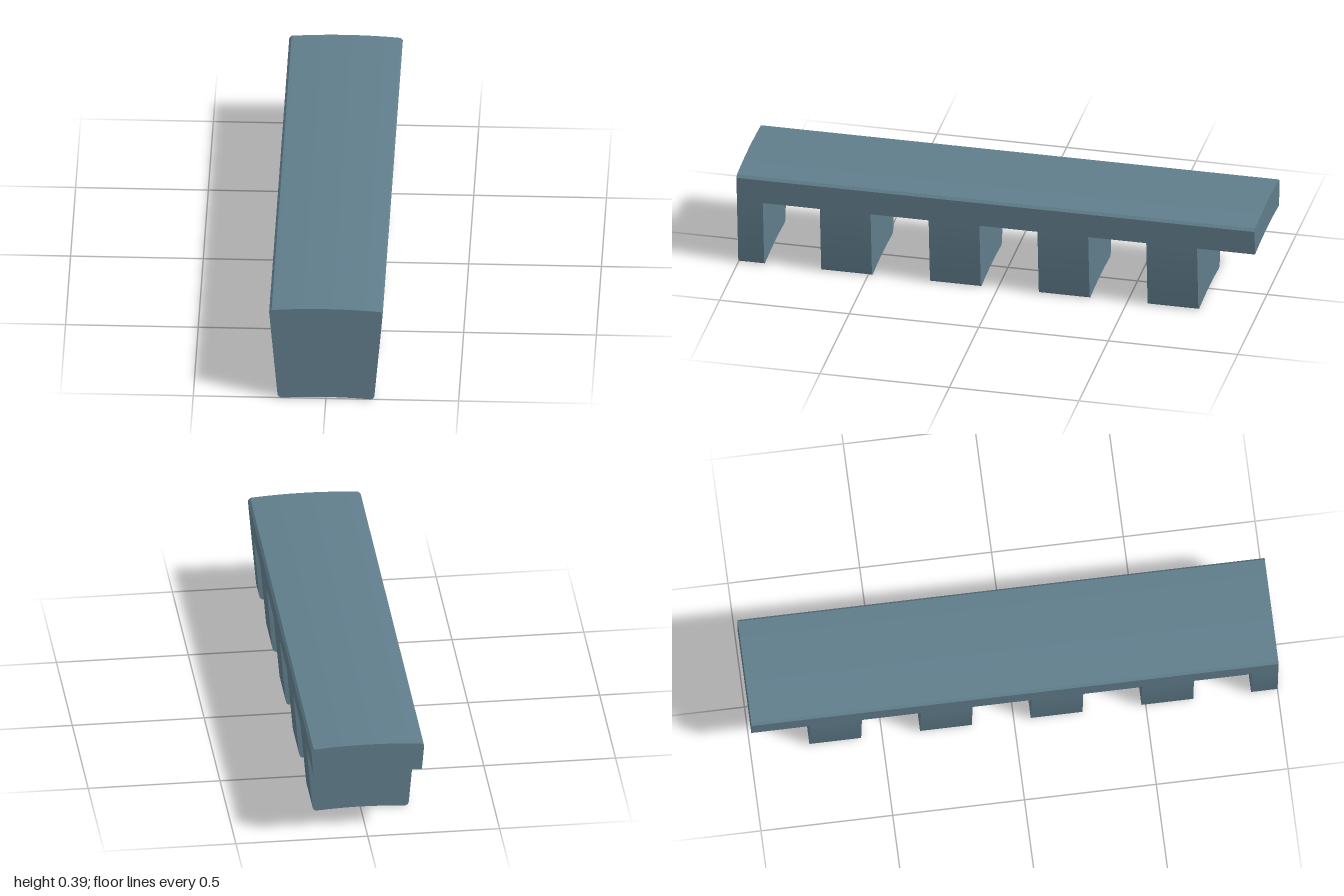
import * as THREE from 'three';
import { toCreasedNormals } from 'three/addons/utils/BufferGeometryUtils.js';

// All curved faces share one axis, parallel to z and far below the model.
const AXIS_Y = -2.08;
const TOP = [0.205, 0.385], SHOULDER = [0.214, 0.375], WAIST = [0.2054, 0.275];
const FOOT_SIDE = [0.183, 0.02], FOOT = [0.163, 0.001];

// Arc about the shared axis, between the mirrored points (-x, y) and (x, y).
function arc(shape, [x, y], leftToRight) {
  const r = Math.hypot(x, y - AXIS_Y), a = Math.atan2(x, y - AXIS_Y);
  const left = Math.PI / 2 + a, right = Math.PI / 2 - a;
  shape.absarc(0, AXIS_Y, r, leftToRight ? left : right, leftToRight ? right : left, leftToRight);
}

function barProfile() {
  const s = new THREE.Shape();
  s.moveTo(-WAIST[0], WAIST[1]);
  arc(s, WAIST, true);
  s.lineTo(...SHOULDER);
  s.lineTo(...TOP);
  arc(s, TOP, false);
  s.lineTo(-SHOULDER[0], SHOULDER[1]);
  s.closePath();
  return s;
}

function toothProfile() {
  const s = new THREE.Shape();
  s.moveTo(-FOOT[0], FOOT[1]);
  arc(s, FOOT, true);
  s.quadraticCurveTo(0.181, 0, ...FOOT_SIDE);
  s.lineTo(...WAIST);
  arc(s, WAIST, false);
  s.lineTo(-FOOT_SIDE[0], FOOT_SIDE[1]);
  s.quadraticCurveTo(-0.181, 0, -FOOT[0], FOOT[1]);
  return s;
}

function extrude(name, profile, z0, z1, material) {
  const geo = new THREE.ExtrudeGeometry(profile, { depth: z1 - z0, bevelEnabled: false, curveSegments: 16 });
  geo.translate(0, 0, z0);
  const mesh = new THREE.Mesh(toCreasedNormals(geo, 0.5), material);
  mesh.name = name;
  return mesh;
}

export function createModel() {
  const group = new THREE.Group();
  group.name = 'toothedBar';
  const blueGrey = new THREE.MeshStandardMaterial({ color: 0x607d8b });
  blueGrey.name = 'blueGrey';

  // Long curved bar with chamfered shoulders
  group.add(extrude('bar', barProfile(), -1, 1, blueGrey));

  // Half tooth flush with the front end, then four evenly spaced teeth
  group.add(extrude('endTooth', toothProfile(), 0.9, 1, blueGrey));
  for (let i = 0; i < 4; i++) {
    const z = 0.68 - i * 0.42;
    group.add(extrude('tooth' + (i + 1), toothProfile(), z - 0.196, z, blueGrey));
  }
  return group;
}
